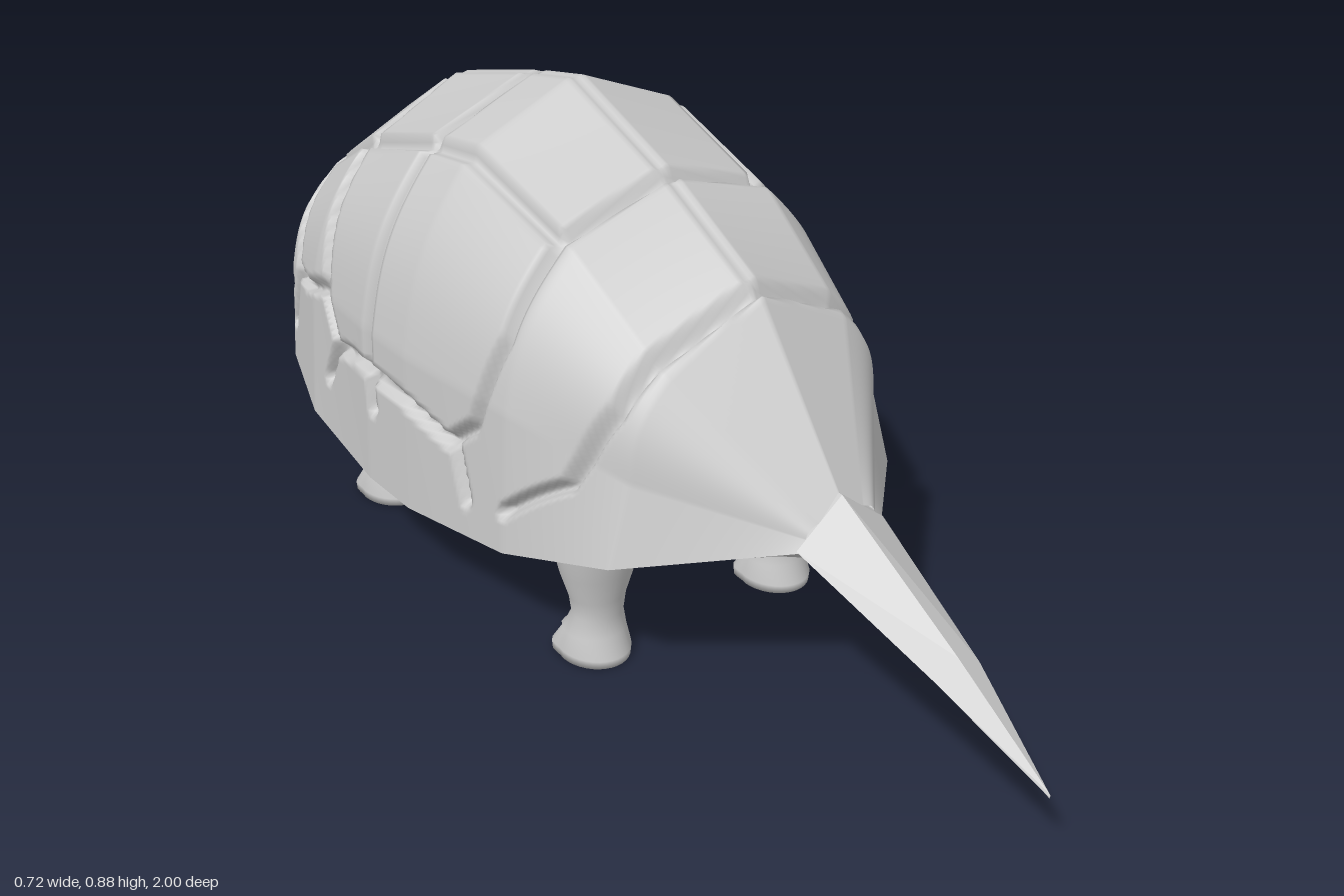
import * as THREE from 'three';
import { mergeVertices } from 'three/addons/utils/BufferGeometryUtils.js';

const lerp = THREE.MathUtils.lerp;

// Shell sections: z, ridge y, shoulder x y, flank x y, rim x y, belly y
const SECTIONS = [
  [0.53, 0.405, 0.045, 0.38, 0.07, 0.36, 0.085, 0.34, 0.29],
  [0.32, 0.68, 0.18, 0.58, 0.25, 0.42, 0.29, 0.28, 0.26],
  [0.10, 0.79, 0.20, 0.72, 0.33, 0.47, 0.345, 0.22, 0.17],
  [-0.17, 0.89, 0.21, 0.80, 0.355, 0.47, 0.36, 0.18, 0.125],
  [-0.30, 0.86, 0.21, 0.78, 0.355, 0.47, 0.36, 0.18, 0.12],
  [-0.54, 0.79, 0.19, 0.70, 0.32, 0.45, 0.335, 0.20, 0.17],
  [-0.70, 0.68, 0.17, 0.60, 0.275, 0.42, 0.285, 0.235, 0.225],
  [-0.85, 0.53, 0.11, 0.48, 0.18, 0.36, 0.195, 0.23, 0.235],
  [-0.95, 0.32, 0.045, 0.30, 0.08, 0.25, 0.09, 0.205, 0.21],
  [-1.00, 0.20, 0, 0.20, 0, 0.195, 0, 0.19, 0.19],
];

// Grooves between plates as z, s pairs; s: 0 ridge, 1 shoulder, 2 flank, 3 rim
const GROOVES = [
  [0.31, 0, 0.29, 1, 0.28, 1.5, 0.22, 2.3, 0.1, 2.7],
  [0.08, 0, 0.07, 1, 0.07, 1.6, 0.02, 2.2, -0.05, 2.4],
  [-0.05, 2.4, -0.18, 2.28, -0.35, 2.25, -0.43, 2.3, -0.47, 2.6],
  [-0.03, 2.4, 0, 2.75],
  [-0.3, 0, -0.29, 1, -0.29, 2.25, -0.28, 2.5],
  [-0.55, 0, -0.53, 1, -0.51, 1.5, -0.475, 2, -0.43, 2.25],
  [-0.715, 0, -0.695, 1, -0.685, 1.4, -0.655, 2, -0.59, 2.05, -0.475, 1.95],
  [-0.655, 2, -0.69, 2.6],
  [-0.86, 0, -0.85, 1, -0.79, 1.7, -0.71, 2.2],
  [0.07, 1, -0.695, 1],
  [0.3, 0, -0.75, 0],
];

function sectionAt(z) {
  let i = 0;
  while (i < SECTIONS.length - 2 && z < SECTIONS[i + 1][0]) i++;
  const a = SECTIONS[i], b = SECTIONS[i + 1];
  const t = (z - a[0]) / (b[0] - a[0]);
  return a.map((v, k) => lerp(v, b[k], t));
}

// Depth of the plate grooves at z, s
function grooveDepth(z, s, scale) {
  let depth = 0;
  GROOVES.forEach((g, n) => {
    const full = n === GROOVES.length - 1 ? 0.01 : 0.024;
    for (let k = 0; k + 3 < g.length; k += 2) {
      const ax = g[k], ay = g[k + 1] * scale;
      const dx = g[k + 2] - ax, dy = g[k + 3] * scale - ay;
      const t = THREE.MathUtils.clamp(((z - ax) * dx + (s * scale - ay) * dy) / (dx * dx + dy * dy), 0, 1);
      const d = Math.hypot(z - ax - t * dx, s * scale - ay - t * dy);
      depth = Math.max(depth, full * (1 - THREE.MathUtils.smoothstep(d, 0.003, 0.017)));
    }
  });
  return depth;
}

// Point on the armoured back; u runs from -3 (right rim) to 3 (left rim)
function shellPoint(z, u) {
  const [, top, sx, sy, fx, fy, rx, ry] = sectionAt(z);
  const s = Math.abs(u), k = Math.min(2, Math.floor(s)), t = s - k;
  const xs = [0, sx, fx, rx], ys = [top, sy, fy, ry];
  const size = fx / 0.355;
  const bulge = k === 1 ? Math.sin(Math.PI * t) * size : 0;
  let x = lerp(xs[k], xs[k + 1], t) + 0.027 * bulge;
  let y = lerp(ys[k], ys[k + 1], t) + 0.012 * bulge;
  const cy = lerp(0.3, ry, 1 - Math.min(1, size));
  const len = Math.hypot(x, y - cy) || 1;
  const d = Math.min(grooveDepth(z, s, 0.28 * size + 0.01), len * 0.3);
  x -= (x / len) * d;
  y -= ((y - cy) / len) * d;
  return [Math.sign(u) * x, y, z];
}

// Surface through a grid of points, fn(i, j) for 0..1
function grid(ni, nj, fn) {
  const pos = [], index = [];
  for (let i = 0; i <= ni; i++) {
    for (let j = 0; j <= nj; j++) pos.push(...fn(i / ni, j / nj));
  }
  for (let i = 0; i < ni; i++) {
    for (let j = 0; j < nj; j++) {
      const a = i * (nj + 1) + j, c = a + nj + 1;
      index.push(a, a + 1, c, a + 1, c + 1, c);
    }
  }
  const geo = new THREE.BufferGeometry();
  geo.setAttribute('position', new THREE.Float32BufferAttribute(pos, 3));
  geo.setIndex(index);
  const merged = mergeVertices(geo, 1e-5);
  merged.computeVertexNormals();
  return merged;
}

// Leg rings from the top down: y, radius x, radius z, z shift, toe lobes
const LEG = [
  [0.31, 0.088, 0.085, 0, 0], [0.25, 0.084, 0.078, 0, 0], [0.17, 0.066, 0.057, 0, 0],
  [0.12, 0.05, 0.044, 0, 0], [0.085, 0.045, 0.04, 0, 0], [0.05, 0.054, 0.05, -0.008, 0.08],
  [0.015, 0.061, 0.072, -0.014, 0.16], [0, 0.06, 0.07, -0.014, 0.16], [0, 0, 0, -0.014, 0],
];

function legGeometry() {
  return grid(LEG.length - 1, 36, (i, j) => {
    const [y, rx, rz, dz, toe] = LEG[Math.round(i * (LEG.length - 1))];
    const a = (j % 1) * Math.PI * 2;
    const lobe = 1 + toe * Math.max(0, -Math.sin(a)) * Math.cos(6 * (a + Math.PI / 2));
    return [rx * lobe * Math.cos(a), y, dz + rz * lobe * Math.sin(a)];
  });
}

// Tail rings: z, half width, side y, top y, bottom y
const TAIL = [
  [0.28, 0.1, 0.35, 0.42, 0.27],
  [0.53, 0.088, 0.345, 0.415, 0.275],
  [0.8, 0.045, 0.24, 0.265, 0.205],
  [1, 0.002, 0.138, 0.142, 0.134],
];

function tailGeometry() {
  return grid(TAIL.length - 1, 4, (i, j) => {
    const [z, w, side, top, bottom] = TAIL[Math.round(i * (TAIL.length - 1))];
    return [[w, side, z], [0, top, z], [-w, side, z], [0, bottom, z]][Math.round(j * 4) % 4];
  });
}

export function createModel() {
  const group = new THREE.Group();
  const smooth = new THREE.MeshStandardMaterial({ color: 0xcccccc, side: THREE.DoubleSide });
  const faceted = new THREE.MeshStandardMaterial({ color: 0xcccccc, flatShading: true, side: THREE.DoubleSide });
  const add = (name, geo, mat) => {
    const mesh = new THREE.Mesh(geo, mat);
    mesh.name = name;
    group.add(mesh);
    return mesh;
  };

  // Plated back
  add('shell', grid(240, 180, (i, j) => shellPoint(lerp(0.53, -1, i), lerp(-3, 3, j))), smooth);

  // Keeled underside, following the rim
  add('belly', grid(60, 2, (i, j) => {
    const z = lerp(0.53, -1, i), s = sectionAt(z);
    return j === 0.5 ? [0, s[8], z] : [j === 0 ? s[6] : -s[6], s[7], z];
  }), faceted);

  add('tail', tailGeometry(), faceted);

  // Four legs with toes pointing to the head
  const leg = legGeometry();
  for (const [side, x] of [['left', 0.195], ['right', -0.195]]) {
    for (const [end, z] of [['Tail', 0.155], ['Head', -0.5]]) {
      add(`${side}${end}EndLeg`, leg, smooth).position.set(x, 0, z);
    }
  }
  return group;
}
